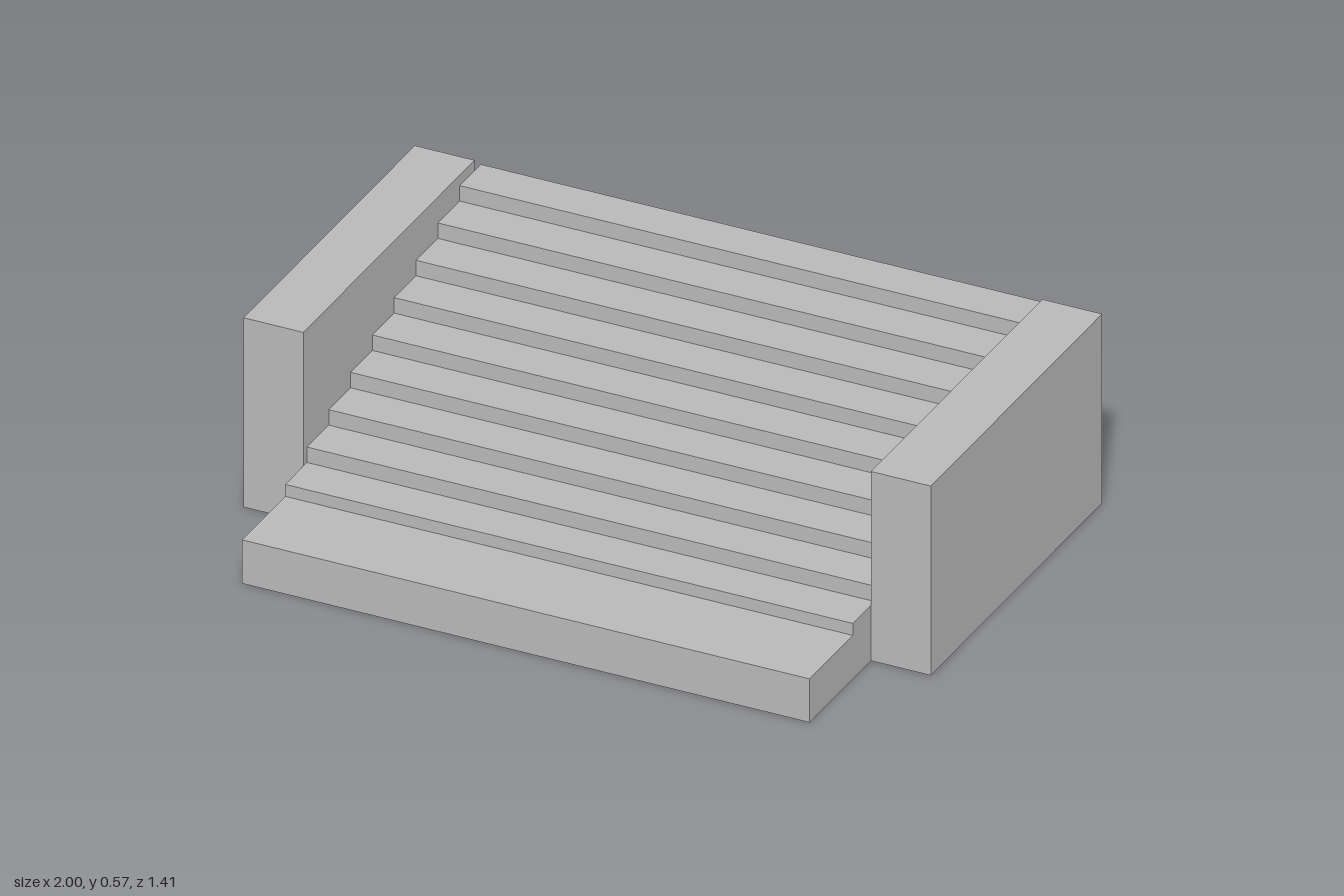
import * as THREE from 'three';

export function createModel() {
  const model = new THREE.Group();
  const stone = new THREE.MeshStandardMaterial({ color: 0xb8b8b8 });
  stone.name = 'grey stone';

  // Stair flight: side profile (u = -z, v = y) extruded across the width
  const steps = 10, front = 0.704, back = -0.704, halfWidth = 0.826;
  const firstRiser = 0.449, tread = 0.1285;
  const firstHeight = 0.131, secondHeight = 0.167, rise = 0.0464;

  const profile = new THREE.Shape();
  profile.moveTo(-front, 0);
  for (let i = 0; i < steps; i++) {
    const riserZ = i === 0 ? front : firstRiser - (i - 1) * tread;
    const treadEnd = i === steps - 1 ? back : firstRiser - i * tread;
    const height = i === 0 ? firstHeight : secondHeight + (i - 1) * rise;
    profile.lineTo(-riserZ, height);
    profile.lineTo(-treadEnd, height);
  }
  profile.lineTo(-back, 0);
  profile.closePath();

  const flight = new THREE.ExtrudeGeometry(profile, { depth: halfWidth * 2, bevelEnabled: false });
  flight.translate(0, 0, -halfWidth);
  flight.rotateY(Math.PI / 2);
  const stairs = new THREE.Mesh(flight, stone);
  stairs.name = 'stairs';
  model.add(stairs);

  // Flanking side walls
  const wallFront = 0.342, wallBack = -0.668, wallHeight = 0.569;
  const wallGeometry = new THREE.BoxGeometry(1 - halfWidth, wallHeight, wallFront - wallBack);
  for (const side of [-1, 1]) {
    const wall = new THREE.Mesh(wallGeometry, stone);
    wall.name = side > 0 ? 'leftWall' : 'rightWall';
    wall.position.set(side * (1 + halfWidth) / 2, wallHeight / 2, (wallFront + wallBack) / 2);
    model.add(wall);
  }

  return model;
}
